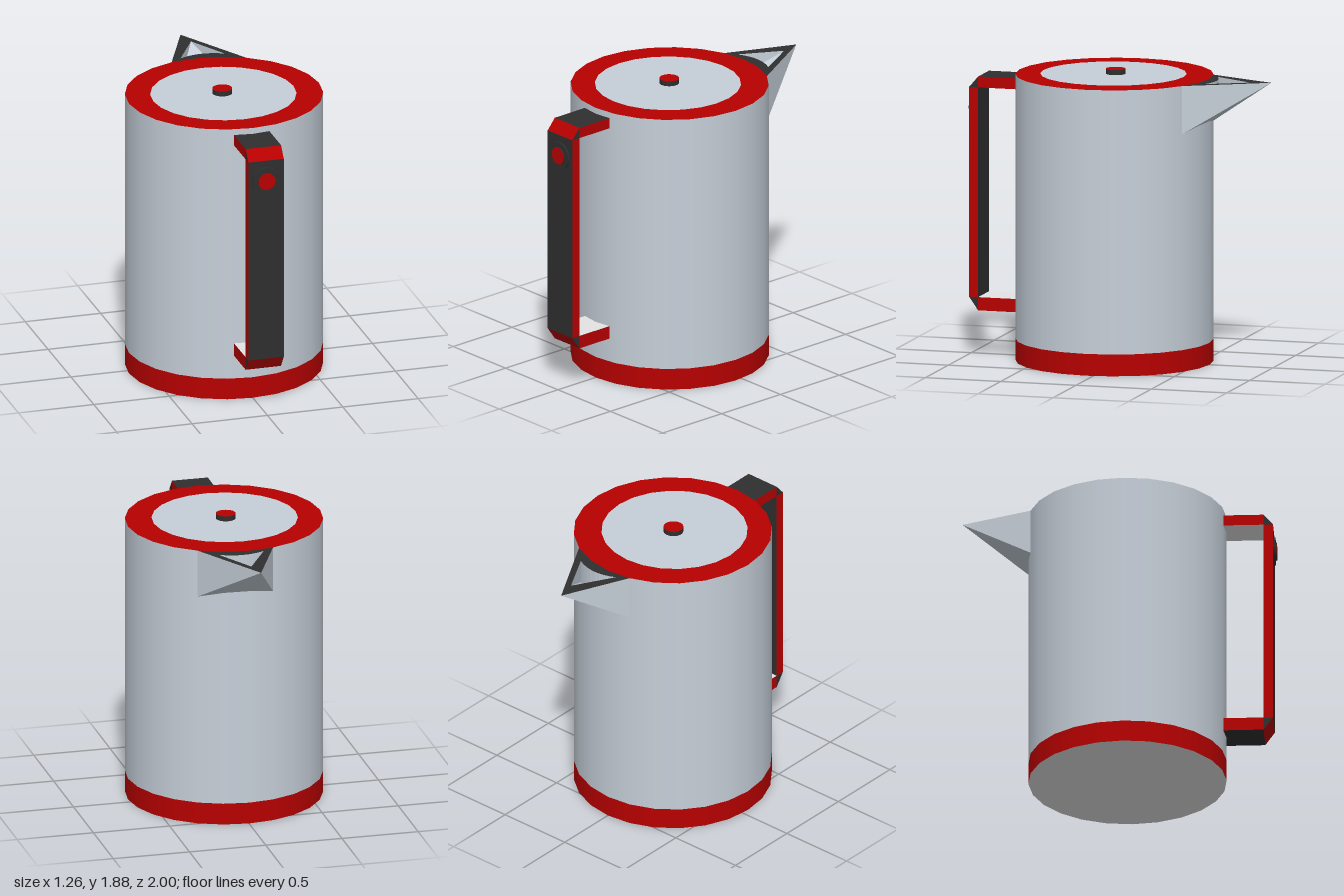
import * as THREE from 'three';

const mat = (name, color, side = THREE.FrontSide) => {
  const m = new THREE.MeshStandardMaterial({ color, side });
  m.name = name;
  return m;
};

// Flat-shaded mesh geometry from a few triangles of [x, y, z] corners
const triangles = (list) => {
  const g = new THREE.BufferGeometry();
  g.setAttribute('position', new THREE.Float32BufferAttribute(list.flat(2), 3));
  g.computeVertexNormals();
  return g;
};

export function createModel() {
  const steel = mat('steel', 0xc6cfd9, THREE.DoubleSide);
  const red = mat('red', 0xb80000);
  const dark = mat('charcoal', 0x2f2f2f);
  const white = mat('off white', 0xe4e4e4);

  const kettle = new THREE.Group();
  kettle.name = 'kettle';
  const add = (name, geometry, material, x = 0, y = 0, z = 0, parent = kettle) => {
    const mesh = new THREE.Mesh(geometry, material);
    mesh.name = name;
    mesh.position.set(x, y, z);
    parent.add(mesh);
    return mesh;
  };

  const R = 0.63, H = 1.84, CZ = 0.05, SIDES = 24, BASE = 0.14;

  // Body and base band
  add('body', new THREE.CylinderGeometry(R, R, H - BASE, SIDES, 1, true), steel, 0, (H + BASE) / 2, CZ);
  add('baseBand', new THREE.CylinderGeometry(R, R, BASE, SIDES, 1, true), red, 0, BASE / 2, CZ);
  add('underside', new THREE.CircleGeometry(R, SIDES).rotateX(Math.PI / 2), white, 0, 0, CZ);

  // Lid: red rim overlapped by a steel disc, with a small knob
  add('lidRim', new THREE.RingGeometry(0.44, R, SIDES).rotateX(-Math.PI / 2), red, 0, H, CZ);
  add('lidDisc', new THREE.CircleGeometry(0.465, SIDES).rotateX(-Math.PI / 2), steel, -0.007, H + 0.002, 0.059);
  add('lidKnob', new THREE.CylinderGeometry(0.063, 0.063, 0.035, 24), [dark, red, dark], -0.01, H + 0.0175, 0.045);

  // Handle: two arms with pale inner faces, an upright and chamfered corners
  const handle = new THREE.Group();
  handle.name = 'handle';
  kettle.add(handle);
  const W = 0.235, HX = -0.003, Z0 = 0.62, Z1 = 0.92, Z2 = 0.98;
  const arms = [
    ['upper', 1.73, 1.8, [red, red, dark, white, dark, dark]],
    ['lower', 0.38, 0.295, [red, red, white, dark, dark, dark]],
  ];
  for (const [name, inner, outer, faces] of arms) {
    add(name + 'Arm', new THREE.BoxGeometry(W, Math.abs(outer - inner), Z1 - Z0), faces,
      HX, (inner + outer) / 2, (Z0 + Z1) / 2, handle);
    const corner = new THREE.Shape([
      new THREE.Vector2(-Z1, inner), new THREE.Vector2(-Z1, outer), new THREE.Vector2(-Z2, inner),
    ]);
    const g = new THREE.ExtrudeGeometry(corner, { depth: W, bevelEnabled: false });
    g.translate(0, 0, -W / 2).rotateY(Math.PI / 2);
    add(name + 'Corner', g, [dark, red], HX, 0, 0, handle);
  }
  add('grip', new THREE.BoxGeometry(W, 1.35, Z2 - Z1), [red, red, dark, dark, dark, dark],
    HX, 1.055, (Z1 + Z2) / 2, handle);

  // Push button on the grip
  const disc = (r, h) => new THREE.CylinderGeometry(r, r, h, 24).rotateX(Math.PI / 2);
  add('buttonRing', disc(0.09, 0.012), dark, HX, 1.595, 0.985, handle);
  add('button', disc(0.057, 0.02), [dark, red, dark], HX, 1.595, 0.99, handle);

  // Spout: a pointed wedge that meets the body at its wall corners
  const spout = new THREE.Group();
  spout.name = 'spout';
  kettle.add(spout);
  const wall = (i, y) => {
    const a = (i * Math.PI * 2) / SIDES;
    return [R * Math.sin(a), y, CZ - R * Math.cos(a)];
  };
  const tip = [0.03, H, -1];
  const L = wall(2, H), Lb = wall(2, 1.53), Rr = wall(-1, H), Rb = wall(-1, 1.545);
  add('spoutShell', triangles([[L, Lb, tip], [Rr, tip, Rb], [Lb, Rb, tip]]), steel, 0, 0, 0, spout);

  // Dark spout rim with a curved triangular opening
  const flat = ([x, , z]) => new THREE.Vector2(x, -z);
  const rim = new THREE.Shape([Rr, wall(0, H), wall(1, H), L, tip].map(flat));
  const mouth = [0.06, H, -0.87];
  const top = Array.from({ length: 9 }, (_, i) => {
    const t = i / 8;
    return [-0.09 + 0.295 * t, H, -0.606 - 0.16 * t * (1 - t)];
  });
  rim.holes.push(new THREE.Path([...top, mouth].map(flat)));
  add('spoutRim', new THREE.ShapeGeometry(rim).rotateX(-Math.PI / 2), dark, 0, H, 0, spout);

  // Hollow below the opening, with a flat sloping floor
  const low = top.map(([x, , z]) => [x, H - 0.6 * (z - mouth[2]), z]);
  const pit = [[mouth, top[0], low[0]], [mouth, low[8], top[8]]];
  for (let i = 0; i < 8; i++) {
    pit.push([mouth, low[i], low[i + 1]]);
    pit.push([top[i], top[i + 1], low[i]], [top[i + 1], low[i + 1], low[i]]);
  }
  add('spoutHollow', triangles(pit), steel, 0, 0, 0, spout);

  return kettle;
}
